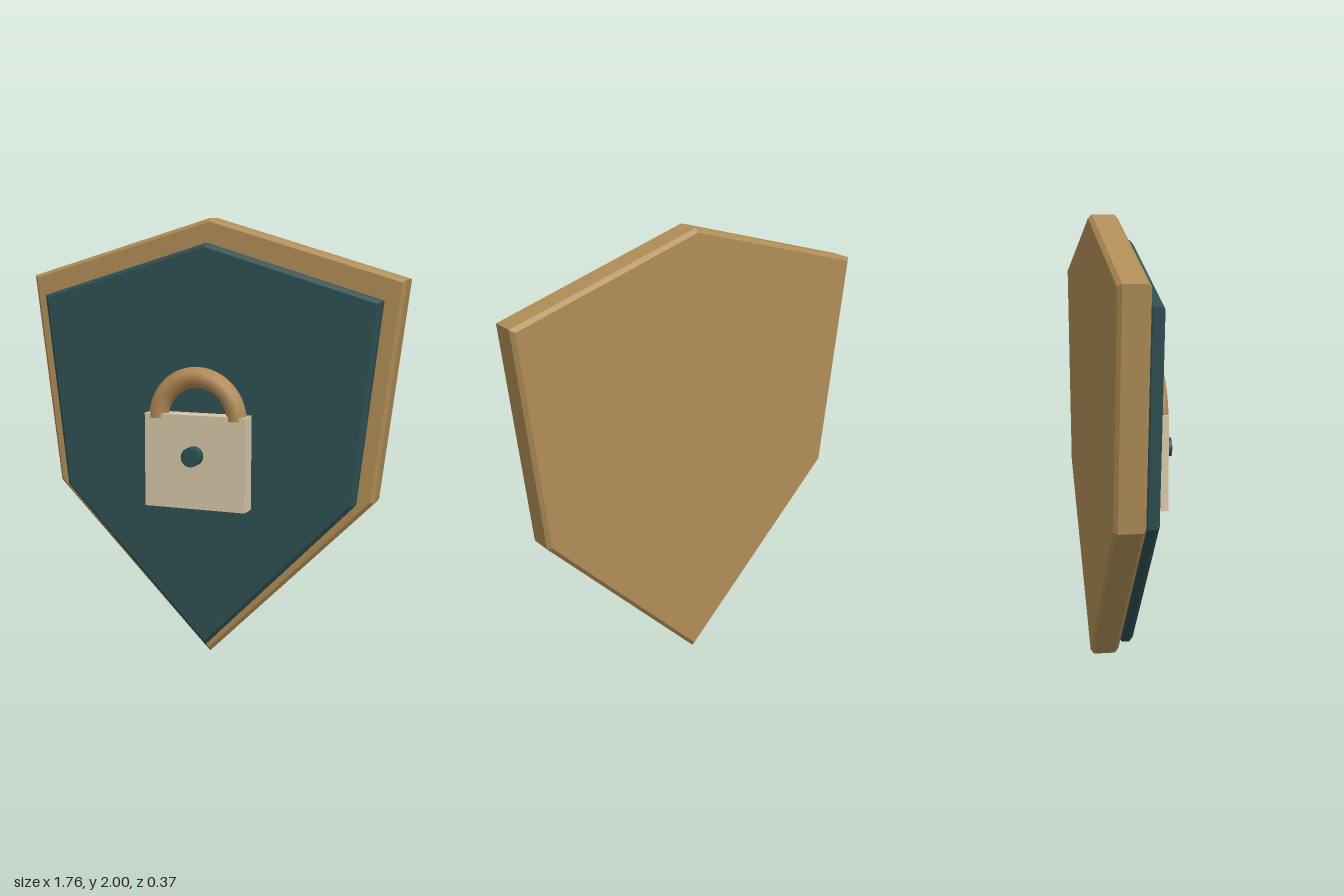
import * as THREE from 'three';

const material = (color, extra = {}) => new THREE.MeshStandardMaterial({ color, ...extra });

// Symmetric shield plate with a chamfered rim; half lists the +x outline from top point to bottom point
function shieldPlate(name, half, zBack, zFront, bevel, mat) {
  const left = half.slice(1, -1).map(([x, y]) => [-x, y]);
  const outline = [...half].reverse().concat(left);
  const shape = new THREE.Shape(outline.map(([x, y]) => new THREE.Vector2(x, y)));
  const geometry = new THREE.ExtrudeGeometry(shape, {
    depth: zFront - zBack - 2 * bevel,
    bevelEnabled: true,
    bevelThickness: bevel,
    bevelSize: bevel,
    bevelOffset: -bevel,
    bevelSegments: 1,
  });
  geometry.translate(0, 0, zBack + bevel);
  const mesh = new THREE.Mesh(geometry, mat);
  mesh.name = name;
  return mesh;
}

export function createModel() {
  const model = new THREE.Group();
  model.name = 'shieldWithPadlock';

  const gold = material(0xb08d57);
  const teal = material(0x2e4f52);
  const cream = material(0xd6c6a8);

  // Shield: thick backing and thinner face panel
  model.add(shieldPlate('shieldBacking',
    [[0, 2], [0.88, 1.74], [0.762, 0.77], [0, 0.004]], -0.185, -0.055, 0.016, gold));
  model.add(shieldPlate('shieldFace',
    [[0, 1.89], [0.792, 1.652], [0.69, 0.765], [0, 0.055]], -0.055, 0.012, 0.016, teal));

  // Padlock floating in front of the face
  const padlock = new THREE.Group();
  padlock.name = 'padlock';

  const body = new THREE.Mesh(new THREE.BoxGeometry(0.472, 0.42, 0.085), cream);
  body.name = 'padlockBody';
  body.position.set(0, 0.937, 0.089);

  // Half ring with a six-sided, smooth-shaded section
  const shackle = new THREE.Mesh(
    new THREE.TorusGeometry(0.183, 0.047, 6, 24, Math.PI),
    material(0xb58c56, { side: THREE.DoubleSide }));
  shackle.name = 'padlockShackle';
  shackle.position.set(0, 1.127, 0.094);

  const keyhole = new THREE.Mesh(new THREE.CylinderGeometry(0.043, 0.043, 0.07, 16), teal);
  keyhole.name = 'keyhole';
  keyhole.rotation.x = Math.PI / 2;
  keyhole.position.set(0, 0.968, 0.15);

  padlock.add(body, shackle, keyhole);
  model.add(padlock);
  return model;
}
